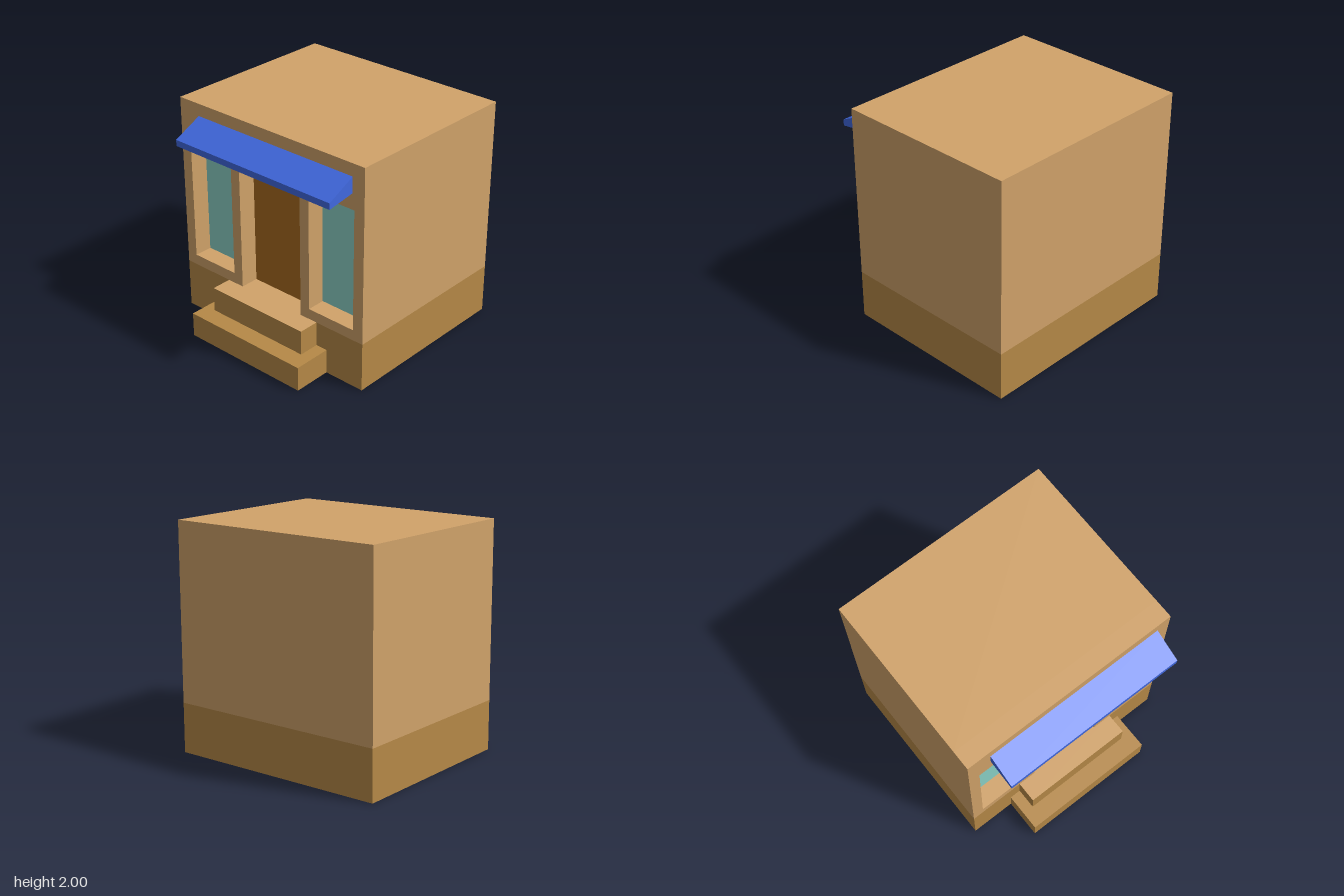
import * as THREE from 'three';

const mat = (color) => new THREE.MeshStandardMaterial({ color });

export function createModel() {
  const group = new THREE.Group();
  const wall = mat(0xd1a36a), stone = mat(0xb68947), wood = mat(0xa86a1f);
  const glass = mat(0x8cd2c8), blue = mat(0x4169e1);
  const front = 0.655, recess = 0.485, plinth = 0.44;

  const add = (name, geometry, material) => {
    const mesh = new THREE.Mesh(geometry, material);
    mesh.name = name;
    group.add(mesh);
    return mesh;
  };
  // Box given by its extents on each axis
  const box = (name, [x0, x1], [y0, y1], [z0, z1], material) => {
    const g = new THREE.BoxGeometry(x1 - x0, y1 - y0, z1 - z0);
    g.translate((x0 + x1) / 2, (y0 + y1) / 2, (z0 + z1) / 2);
    return add(name, g, material);
  };
  const polygon = (points, Type = THREE.Shape) =>
    new Type(points.map(([x, y]) => new THREE.Vector2(x, y)));

  // Stone with a lighter top face
  const paved = [stone, stone, wall, stone, stone, stone];

  // Main volume
  box('base', [-1, 1], [0, plinth], [-1, front], paved);
  box('building', [-1, 1], [plinth, 2], [-1, recess], wall);

  // Front wall with a doorway notch and two window openings
  const doorW = 0.335, doorTop = 1.75;
  const facade = polygon([
    [-1, plinth], [-doorW, plinth], [-doorW, doorTop], [doorW, doorTop],
    [doorW, plinth], [1, plinth], [1, 2], [-1, 2],
  ]);
  const sides = [['leftWindow', 0.43, 0.9], ['rightWindow', -0.9, -0.43]];
  const w0 = 0.535, w1 = 1.61;
  for (const [name, x0, x1] of sides) {
    facade.holes.push(polygon([[x0, w0], [x0, w1], [x1, w1], [x1, w0]], THREE.Path));
    box(name, [x0, x1], [w0, w1], [recess - 0.01, recess + 0.004], glass);
  }
  const facadeGeo = new THREE.ExtrudeGeometry(facade, { depth: front - recess, bevelEnabled: false });
  add('frontWall', facadeGeo.translate(0, 0, recess), wall);

  // Recessed door
  box('door', [-doorW, doorW], [plinth, doorTop], [recess - 0.01, recess + 0.004], wood);

  // Entrance steps
  box('lowerStep', [-0.6, 0.62], [0, 0.22], [front, 1], stone);
  box('upperStep', [-0.5, 0.51], [0.22, plinth], [front, 0.84], paved);

  // Awning: side profile (z, y) extruded across the front
  const profile = polygon([[front, 1.75], [0.915, 1.71], [0.915, 1.765], [front, 1.89]]);
  const awningGeo = new THREE.ExtrudeGeometry(profile, { depth: 1.665, bevelEnabled: false });
  awningGeo.rotateY(-Math.PI / 2).translate(0.88, 0, 0);
  add('awning', awningGeo, blue);

  return group;
}
